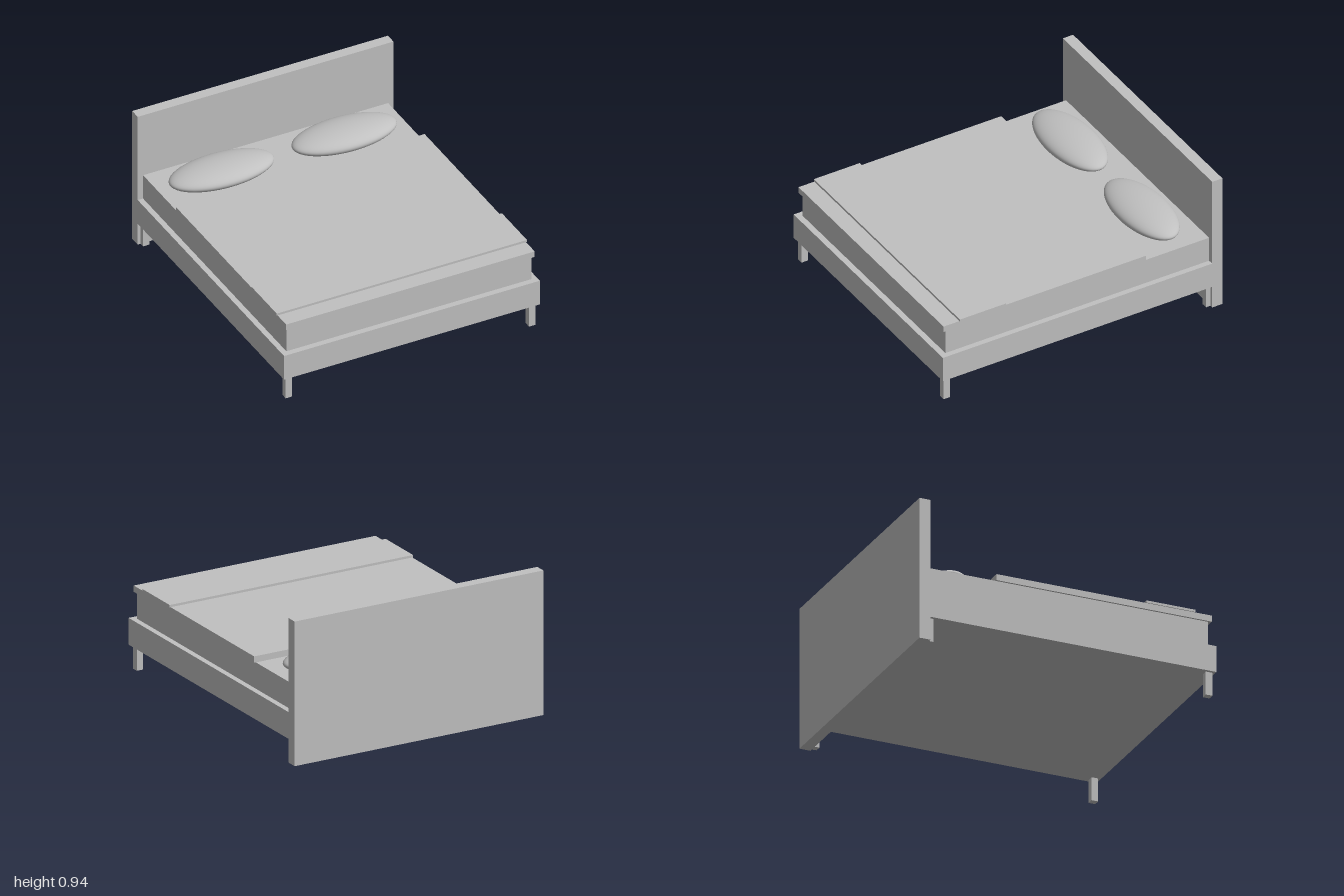
import * as THREE from 'three';

export function createModel() {
  const bed = new THREE.Group();
  bed.name = 'bed';
  const grey = new THREE.MeshStandardMaterial({ color: 0xc0c0c0 });
  grey.name = 'light grey';

  // Box given by its extents on each axis
  function slab(name, [x0, x1], [y0, y1], [z0, z1]) {
    const mesh = new THREE.Mesh(new THREE.BoxGeometry(x1 - x0, y1 - y0, z1 - z0), grey);
    mesh.position.set((x0 + x1) / 2, (y0 + y1) / 2, (z0 + z1) / 2);
    mesh.name = name;
    bed.add(mesh);
  }

  // Headboard and base
  slab('headboard', [-0.885, 0.885], [0, 0.945], [-1, -0.927]);
  slab('frame', [-0.885, 0.885], [0.155, 0.33], [-0.927, 1]);

  // Bedding, from the mattress up
  slab('mattress', [-0.848, 0.848], [0.33, 0.502], [-0.927, 0.96]);
  slab('blanket', [-0.86, 0.86], [0.502, 0.543], [-0.47, 0.98]);
  slab('throw', [-0.866, 0.866], [0.543, 0.558], [0.537, 0.867]);

  for (const [side, s] of [['left', 1], ['right', -1]]) {
    // Legs, set in from the corners
    const x = [s * 0.842 - 0.022, s * 0.842 + 0.022];
    slab(side + 'FrontLeg', x, [0, 0.155], [0.937, 0.982]);
    slab(side + 'BackLeg', x, [0, 0.155], [-0.94, -0.895]);

    // Pillows: flattened ellipsoids sunk into the mattress
    const pillow = new THREE.Mesh(new THREE.SphereGeometry(1, 48, 32), grey);
    pillow.scale.set(0.355, 0.068, 0.168);
    pillow.position.set(s * 0.425, 0.541, -0.701);
    pillow.name = side + 'Pillow';
    bed.add(pillow);
  }

  return bed;
}
